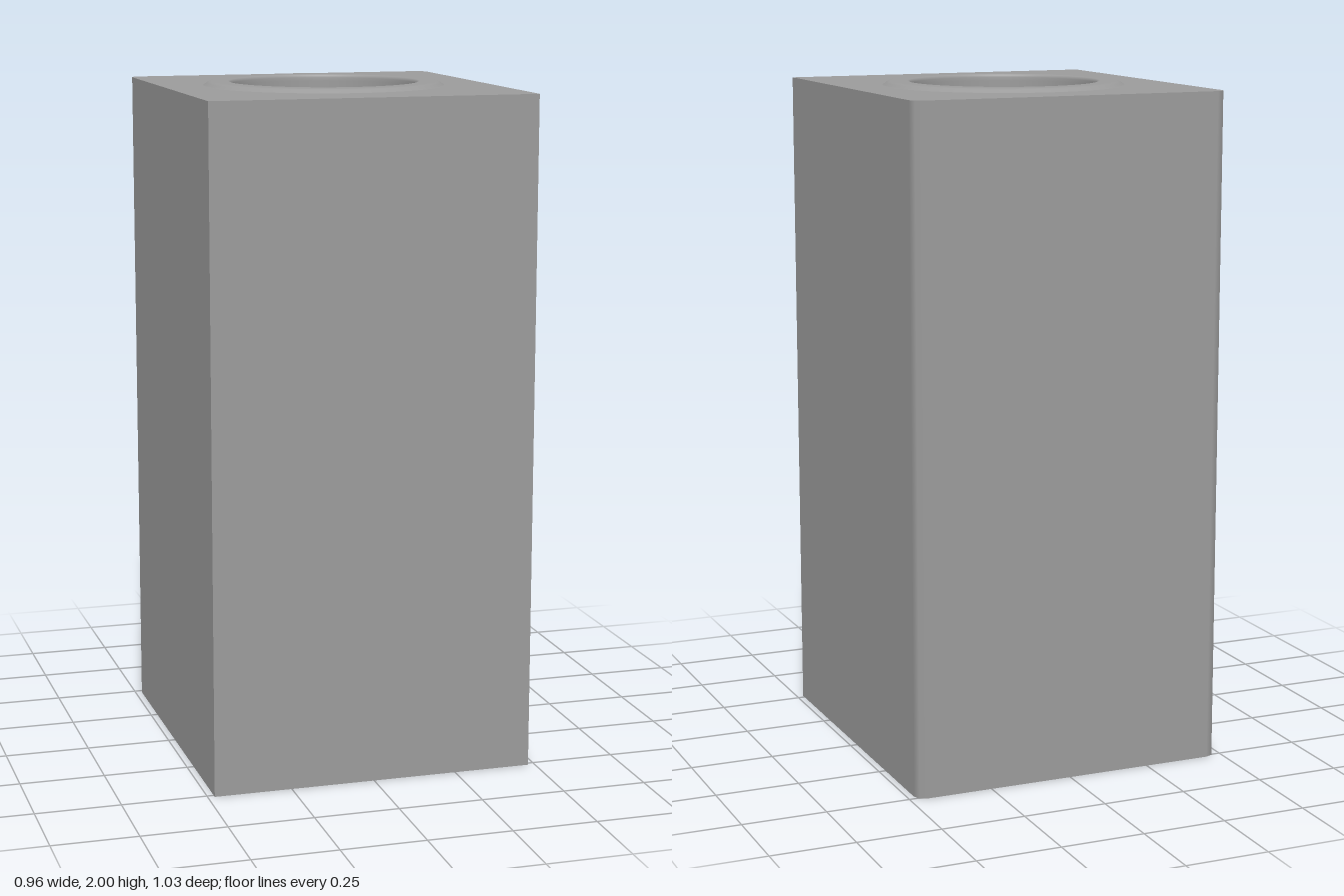
import * as THREE from 'three';

const W = 0.48, D = 0.513, TOP = 1.988, R = 0.03, HOLE_Z = -0.014;

// Outline seen from above, as [x, z, normalX, normalZ]: sharp front corners, eased back corners
function outline() {
  const pts = [[W, D, 1, 0]];
  for (const side of [1, -1]) {
    for (let i = 0; i <= 2; i++) {
      const a = (i / 2) * Math.PI / 2 + (side > 0 ? 0 : Math.PI / 2);
      const nx = Math.cos(a), nz = -Math.sin(a);
      pts.push([side * (W - R) + R * nx, -(D - R) + R * nz, nx, nz]);
    }
  }
  pts.push([-W, D, -1, 0], [-W, D, 0, 1], [W, D, 0, 1]);
  return pts;
}

// Thin upright walls, open at the bottom
function wallGeometry(pts) {
  const position = [], normal = [], index = [];
  pts.forEach(([x, z, nx, nz], i) => {
    position.push(x, 0, z, x, TOP, z);
    normal.push(nx, 0, nz, nx, 0, nz);
    if (i < pts.length - 1) {
      const a = i * 2;
      index.push(a, a + 2, a + 3, a, a + 3, a + 1);
    }
  });
  const geo = new THREE.BufferGeometry();
  geo.setAttribute('position', new THREE.Float32BufferAttribute(position, 3));
  geo.setAttribute('normal', new THREE.Float32BufferAttribute(normal, 3));
  geo.setIndex(index);
  return geo;
}

export function createModel() {
  const group = new THREE.Group();
  const material = new THREE.MeshStandardMaterial({ color: 0x9b9b9b, side: THREE.DoubleSide });
  const add = (name, geometry) => {
    const mesh = new THREE.Mesh(geometry, material);
    mesh.name = name;
    group.add(mesh);
    return mesh;
  };

  const pts = outline();
  add('walls', wallGeometry(pts));

  // Top plate with a round opening
  const plate = new THREE.Shape(pts.map(([x, z]) => new THREE.Vector2(x, -z)));
  plate.holes.push(new THREE.Path().absarc(0, -HOLE_Z, 0.356, 0, Math.PI * 2, true));
  add('topPlate', new THREE.ShapeGeometry(plate, 48).rotateX(-Math.PI / 2).translate(0, TOP, 0));

  // Low raised rim that turns down into the bore
  const profile = [
    [0.358, TOP], [0.354, 1.9895], [0.347, 1.995], [0.34, 1.9985], [0.332, 2], [0.285, 2],
    [0.281, 1.9992], [0.277, 1.996], [0.2755, 1.99], [0.2755, 1.98], [0.2755, 1.25],
  ].map(([r, y]) => new THREE.Vector2(r, y));
  add('rimAndBore', new THREE.LatheGeometry(profile, 64)).position.z = HOLE_Z;

  return group;
}
